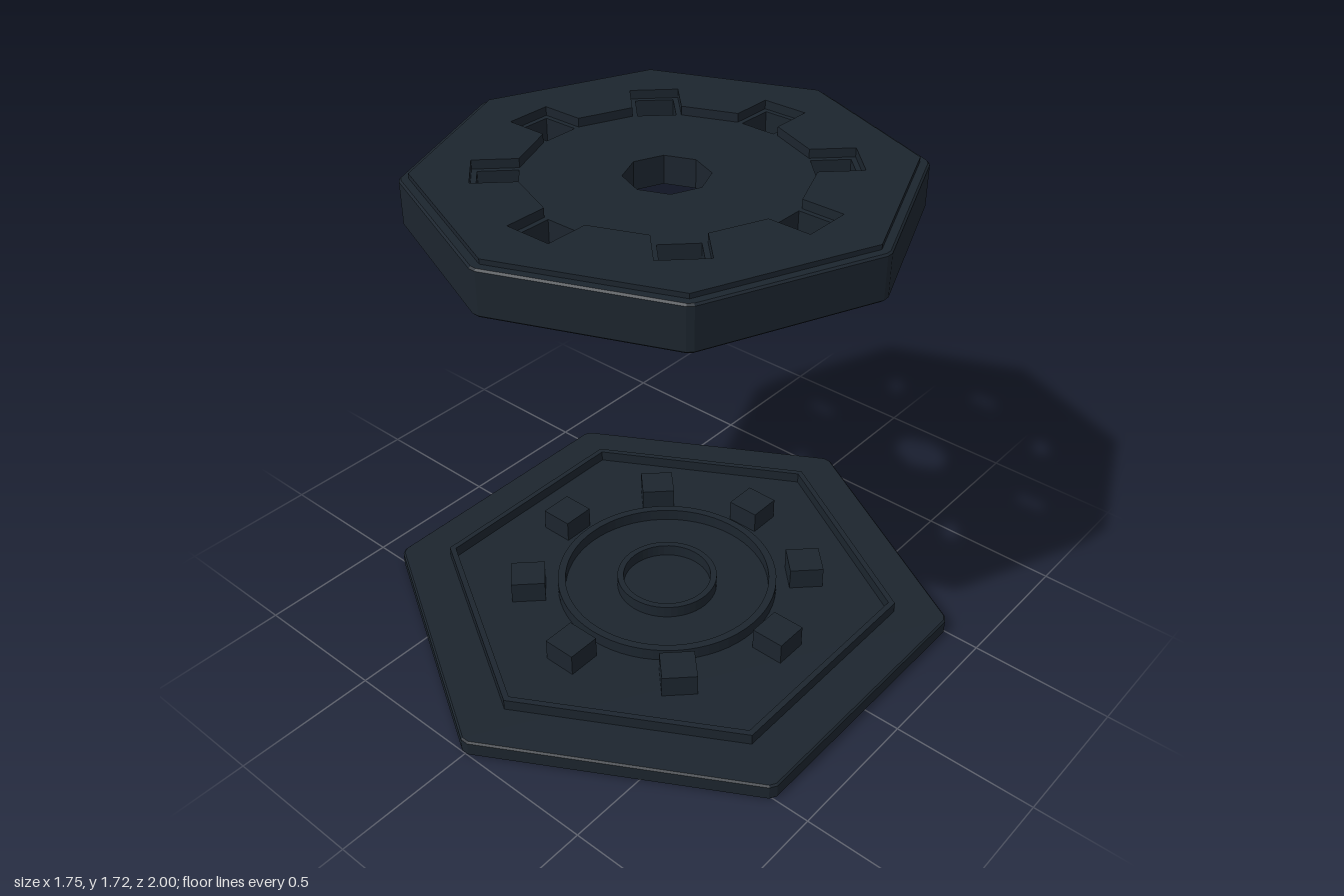
import * as THREE from 'three';

const material = new THREE.MeshStandardMaterial({ color: 0x1c252e });

// Regular polygon outline; 'start' is the angle of the first corner
function polygon(sides, radius, start = 0) {
  return Array.from({ length: sides }, (_, i) => {
    const a = start + (i * 2 * Math.PI) / sides;
    return new THREE.Vector2(radius * Math.cos(a), radius * Math.sin(a));
  });
}

// Cuts each corner of an outline, 'cut' being the length removed along each edge
function cutCorners(points, cut) {
  const n = points.length;
  return points.flatMap((p, i) =>
    [points[(i + n - 1) % n], points[(i + 1) % n]].map((q) =>
      p.clone().lerp(q, cut / p.distanceTo(q))));
}

// Square outline pushed out to 'distance' along angle 'a'
function squareAt(a, distance, half) {
  return [[-1, -1], [1, -1], [1, 1], [-1, 1]].map(([u, v]) =>
    new THREE.Vector2(distance + u * half, v * half).rotateAround(new THREE.Vector2(), a));
}

// Horizontal slab from y0 to y1, with optional holes and edge bevel
function slab(name, outline, y0, y1, holes = [], bevel = 0) {
  const shape = new THREE.Shape(outline);
  shape.holes = holes.map((h) => new THREE.Path(h));
  const geometry = new THREE.ExtrudeGeometry(shape, {
    depth: y1 - y0 - 2 * bevel,
    bevelEnabled: bevel > 0,
    bevelSize: bevel,
    bevelThickness: bevel,
    bevelOffset: -bevel,
    bevelSegments: 1,
  });
  geometry.rotateX(-Math.PI / 2).translate(0, y0 + bevel, 0);
  const mesh = new THREE.Mesh(geometry, material);
  mesh.name = name;
  return mesh;
}

export function createModel() {
  const model = new THREE.Group();
  model.name = 'pedestalAndFloatingPlate';
  const angles = Array.from({ length: 8 }, (_, i) => (i * Math.PI) / 4);
  const hex = (r) => polygon(6, r, Math.PI / 2);

  // Hexagonal base with a raised rim
  const base = new THREE.Group();
  base.name = 'base';
  base.add(slab('baseSlab', cutCorners(hex(1.008), 0.016), 0, 0.06, [], 0.006));
  base.add(slab('trayRim', hex(0.82), 0.055, 0.1, [hex(0.797)]));

  // Concentric rings in the middle of the tray
  base.add(slab('outerRing', polygon(64, 0.395), 0.055, 0.104, [polygon(64, 0.368)]));
  base.add(slab('innerRing', polygon(48, 0.18), 0.055, 0.104, [polygon(48, 0.158)]));

  // Circle of locking pegs
  for (const a of angles) base.add(slab('peg', squareAt(a, 0.5, 0.06), 0.055, 0.14));
  model.add(base);

  // Floating octagonal plate: outer wall around a deck that is recessed underneath
  const plate = new THREE.Group();
  plate.name = 'floatingPlate';
  const wall = cutCorners(polygon(8, 0.803), 0.012);
  plate.add(slab('plateWall', wall, 1.55, 1.7, [polygon(8, 0.76)], 0.006));

  // Deck with through slots and a centre hole
  const slots = angles.map((a) => squareAt(a, 0.508, 0.063));
  plate.add(slab('plateDeck', polygon(8, 0.768), 1.59, 1.686, [polygon(8, 0.136), ...slots]));

  // Top layer, opened by a faceted circle with a square notch at each slot
  const opening = angles.flatMap((a) =>
    [[0.443, -0.08], [0.588, -0.08], [0.588, 0.08], [0.443, 0.08]].map(([x, y]) =>
      new THREE.Vector2(x, y).rotateAround(new THREE.Vector2(), a)));
  plate.add(slab('plateTopLayer', polygon(8, 0.77), 1.686, 1.716, [opening]));
  model.add(plate);

  return model;
}
